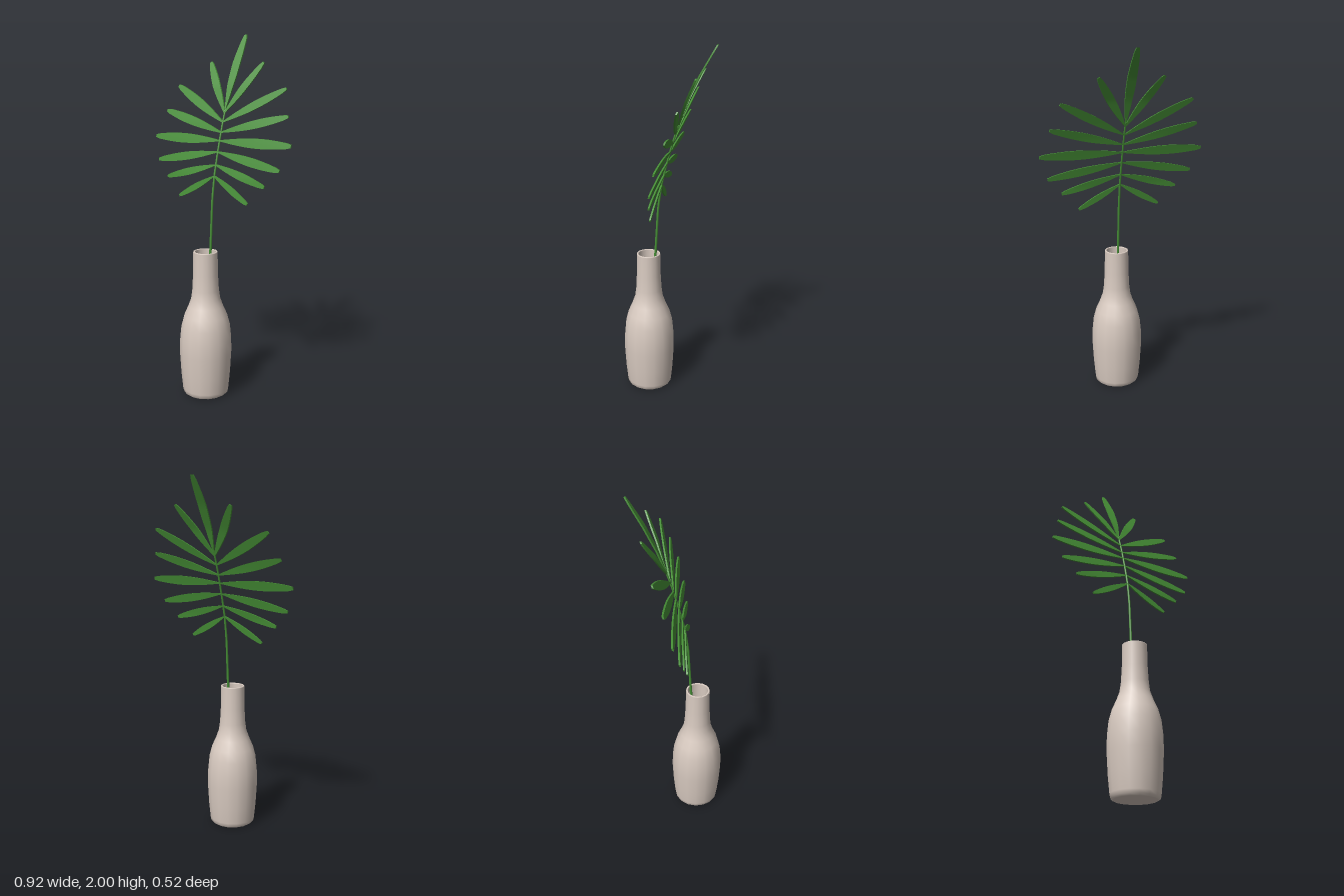
import * as THREE from 'three';

const green = new THREE.MeshStandardMaterial({ color: 0x468f36 });
green.name = 'leaf green';
const clay = new THREE.MeshStandardMaterial({ color: 0xd9cbc1 });
clay.name = 'pale clay';

// backward bend of the frond: [height, depth]
const BEND = [[0.1, 0.13], [0.83, 0.072], [1.11, 0.055], [1.24, 0.036], [1.34, 0.012], [1.43, -0.012],
  [1.52, -0.038], [1.6, -0.066], [1.72, -0.11], [1.85, -0.172], [2, -0.258]];
function bend(y) {
  let i = 1;
  while (i < BEND.length - 1 && y > BEND[i][0]) i++;
  const [y0, z0] = BEND[i - 1], [y1, z1] = BEND[i];
  return z0 + (z1 - z0) * (y - y0) / (y1 - y0);
}

function moveVertices(geo, rule) {
  const p = geo.attributes.position, v = new THREE.Vector3();
  for (let i = 0; i < p.count; i++) {
    rule(v.fromBufferAttribute(p, i));
    p.setXYZ(i, v.x, v.y, v.z);
  }
  geo.computeVertexNormals();
  return geo;
}

// thin leaflet, narrow at the stem and blunt at the tip, lying on the bend
function leaflet(baseY, tipX, tipY, halfWidth) {
  const dx = tipX, dy = tipY - baseY, len = Math.hypot(dx, dy);
  const geo = new THREE.BoxGeometry(1, 2, 0.009, 16, 2, 1);
  return moveVertices(geo, (v) => {
    const t = v.x + 0.5;
    const round = t > 0.99 ? 0.7 : 1;
    const w = (0.003 + (halfWidth - 0.003) * Math.sin(Math.PI * 0.88 * t)) * round * v.y;
    const x = dx * t - dy / len * w;
    const y = baseY + dy * t + dx / len * w;
    v.set(x, y, bend(y) + v.z);
  });
}

export function createModel() {
  const model = new THREE.Group();
  const add = (name, geo, mat) => {
    const mesh = new THREE.Mesh(geo, mat);
    mesh.name = name;
    model.add(mesh);
    return mesh;
  };

  // hollow bottle vase: base, outer wall, rim, inner wall, inner floor
  const profile = [[0, 0], [0.114, 0], [0.116, 0.001], [0.127, 0.01], [0.131, 0.03], [0.14, 0.12], [0.147, 0.24],
    [0.146, 0.32], [0.138, 0.4], [0.122, 0.46], [0.098, 0.515], [0.082, 0.56], [0.075, 0.61], [0.07, 0.7],
    [0.068, 0.825], [0.0675, 0.828], [0.066, 0.829], [0.06, 0.829], [0.0585, 0.828], [0.058, 0.825],
    [0.06, 0.7], [0.064, 0.61], [0.072, 0.56], [0.088, 0.515], [0.112, 0.46], [0.128, 0.4], [0.137, 0.28],
    [0.13, 0.12], [0.118, 0.03], [0.115, 0.025], [0, 0.025]];
  const vase = add('vase', new THREE.LatheGeometry(profile.map(([r, y]) => new THREE.Vector2(r, y)), 16), clay);
  vase.position.set(-0.004, 0, 0.113);

  // tapered stem following the bend
  const stem = new THREE.CylinderGeometry(0.005, 0.009, 1.55, 8, 32);
  add('stem', moveVertices(stem, (v) => {
    v.y += 0.855;
    v.z += bend(v.y);
  }), green);

  // mirrored leaflets: base height, tip x, tip height, half width
  const pairs = [[1.24, 0.232, 1.11, 0.017], [1.3, 0.33, 1.21, 0.02], [1.37, 0.41, 1.3, 0.023],
    [1.43, 0.458, 1.43, 0.026], [1.475, 0.41, 1.577, 0.023], [1.53, 0.363, 1.717, 0.023],
    [1.58, 0.178, 1.85, 0.022]];
  for (const [base, x, y, w] of pairs) {
    add('leftLeaflet', leaflet(base, x, y, w), green);
    add('rightLeaflet', leaflet(base, -x, y, w), green);
  }
  add('topLeaflet', leaflet(1.6, 0, 2, 0.025), green);
  return model;
}
